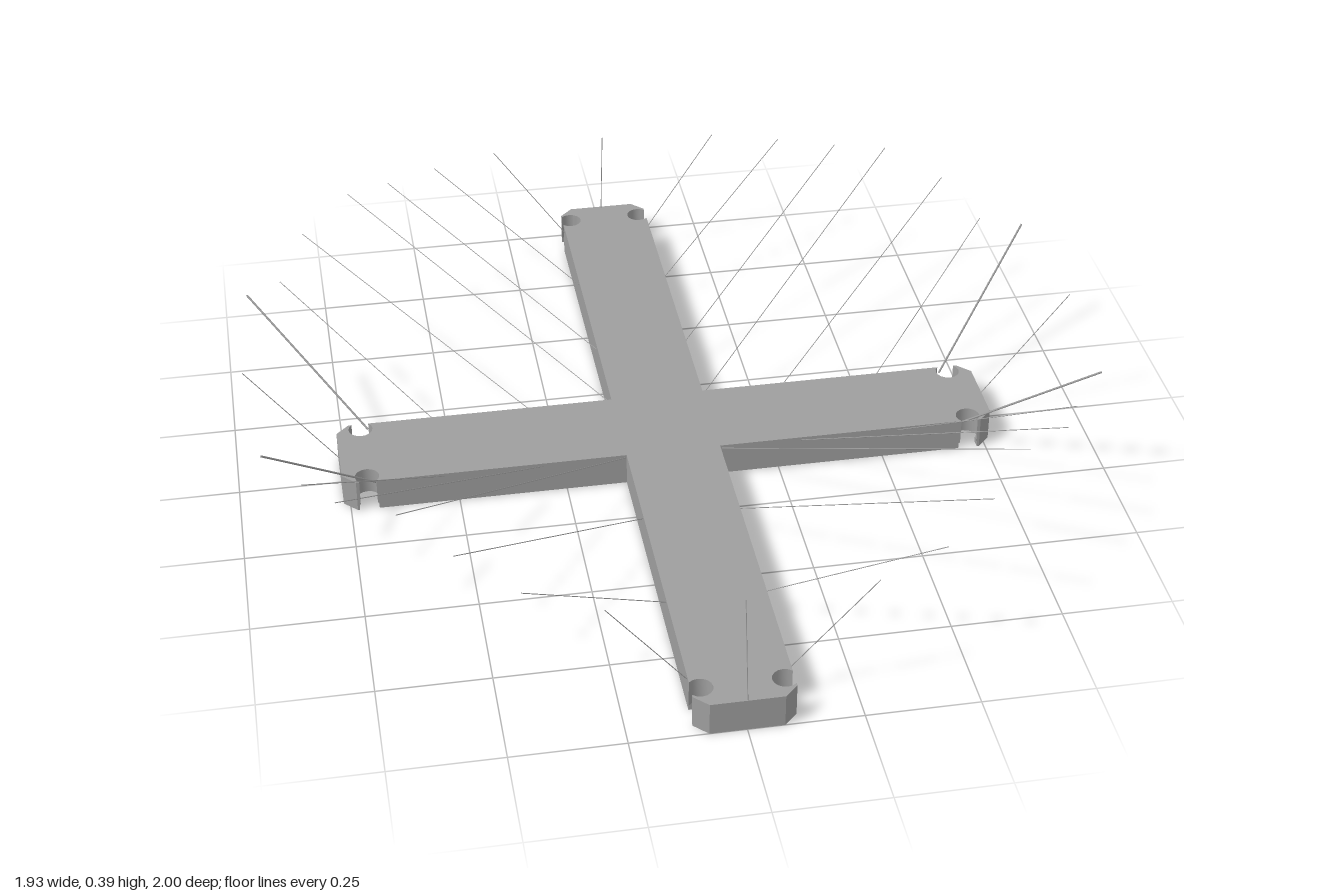
import * as THREE from 'three';
import { toCreasedNormals } from 'three/addons/utils/BufferGeometryUtils.js';

const TOP = 0.078, PLATE = 0.015; // top of the cross, underside of the plate
const WX = 0.114, WZ = 0.11; // half widths of the side arms and the end arms
const TX = 0.765, TZ = 1.0; // reach of the side arms and the end arms
const RIM = 0.02;

const material = new THREE.MeshStandardMaterial({ color: 0x9e9e9e });

// Extrude an outline drawn in the ground plane between two heights
function slab(name, points, y0, y1) {
  const shape = new THREE.Shape(points.map(([x, z]) => new THREE.Vector2(x, z)));
  const geo = new THREE.ExtrudeGeometry(shape, { depth: y1 - y0, bevelEnabled: false });
  geo.rotateX(Math.PI / 2).translate(0, y1, 0);
  const mesh = new THREE.Mesh(toCreasedNormals(geo, 0.5), material);
  mesh.name = name;
  return mesh;
}

// Half of an arm end, from the tip inwards: chamfer, then round notch
function armEnd(tip, w) {
  const points = [[tip, w - 0.03], [tip - 0.03, w]];
  const r = 0.028, cu = tip - 0.057, cv = w - 0.02;
  const a0 = Math.asin((w - cv) / r), sweep = Math.PI + 2 * a0;
  for (let i = 0; i <= 12; i++) {
    const a = a0 - sweep * i / 12;
    points.push([cu + r * Math.cos(a), cv + r * Math.sin(a)]);
  }
  return points;
}

function crossOutline() {
  const quarter = [
    ...armEnd(TX, WX),
    [WZ, WX],
    ...armEnd(TZ, WZ).reverse().map(([u, v]) => [v, u]),
  ];
  const mirrored = (sx, sz) => quarter.map(([x, z]) => [x * sx, z * sz]);
  return [
    ...mirrored(1, 1), ...mirrored(-1, 1).reverse(),
    ...mirrored(-1, -1), ...mirrored(1, -1).reverse(),
  ];
}

// Skirt band around an arm tip, between its two notches
function tipBand(tip, w) {
  const half = [[w, tip - 0.035], [w, tip - 0.03], [w - 0.03, tip]];
  const inner = [[w - 0.038, tip - RIM], [w - RIM, tip - 0.035]];
  const flip = (p) => p.map(([x, z]) => [-x, z]).reverse();
  return [...half, ...flip(half), ...flip(inner), ...inner];
}

// Thin straight rod between two points
function rod(name, from, to, radius) {
  const a = new THREE.Vector3(...from), b = new THREE.Vector3(...to);
  const dir = b.clone().sub(a);
  const mesh = new THREE.Mesh(new THREE.CylinderGeometry(radius, radius, dir.length(), 5), material);
  mesh.position.copy(a).add(b).multiplyScalar(0.5);
  mesh.quaternion.setFromUnitVectors(new THREE.Vector3(0, 1, 0), dir.normalize());
  mesh.name = name;
  return mesh;
}

export function createModel() {
  const model = new THREE.Group();
  model.name = 'crossPlatform';
  model.add(slab('crossBody', crossOutline(), PLATE, TOP));

  // Skirt under the body, broken at the notches
  const skirt = new THREE.Group();
  skirt.name = 'skirt';
  const ix = WZ - RIM, iz = WX - RIM, ex = TX - 0.08, ez = TZ - 0.08;
  const corner = [[ex, WX], [WZ, WX], [WZ, ez], [ix, ez], [ix, iz], [ex, iz]];
  for (const sx of [1, -1]) for (const sz of [1, -1])
    skirt.add(slab('cornerSkirt', corner.map(([x, z]) => [x * sx, z * sz]), 0, PLATE));
  for (const s of [1, -1]) {
    skirt.add(slab('endSkirt', tipBand(TZ, WZ).map(([x, z]) => [x, z * s]), 0, PLATE));
    skirt.add(slab('sideSkirt', tipBand(TX, WX).map(([x, z]) => [z * s, x]), 0, PLATE));
  }
  model.add(skirt);

  // Slanted rods: start x, z, then end x, z, height and radius, mirrored to all quarters
  const rods = new THREE.Group();
  rods.name = 'rods';
  const thin = 0.001, thick = 0.0025;
  const quarterRods = [
    [0.11, 0.90, 0.285, 0.935, 0.305, thin],
    [0.11, 0.645, 0.445, 0.865, 0.315, thin],
    [0.11, 0.345, 0.57, 0.76, 0.345, thin],
    [0.11, 0.11, 0.675, 0.655, 0.385, thin],
    [0.30, 0.11, 0.795, 0.545, 0.35, thin],
    [0.53, 0.11, 0.86, 0.41, 0.305, thin],
    [0.69, 0.105, 0.94, 0.325, 0.33, thick],
  ];
  for (const sx of [1, -1]) for (const sz of [1, -1])
    for (const [x0, z0, x1, z1, h, r] of quarterRods)
      rods.add(rod('slantedRod', [x0 * sx, 0.068, z0 * sz], [x1 * sx, h, z1 * sz], r));

  // Rods at the four arm tips
  for (const s of [1, -1]) {
    rods.add(rod('sideTipRod', [TX * s, 0.07, 0], [0.965 * s, 0.33, 0], thin));
    rods.add(rod('endTipRod', [0, 0.07, 0.998 * s], [0, 0.31, 0.957 * s], thin));
  }
  model.add(rods);
  return model;
}
